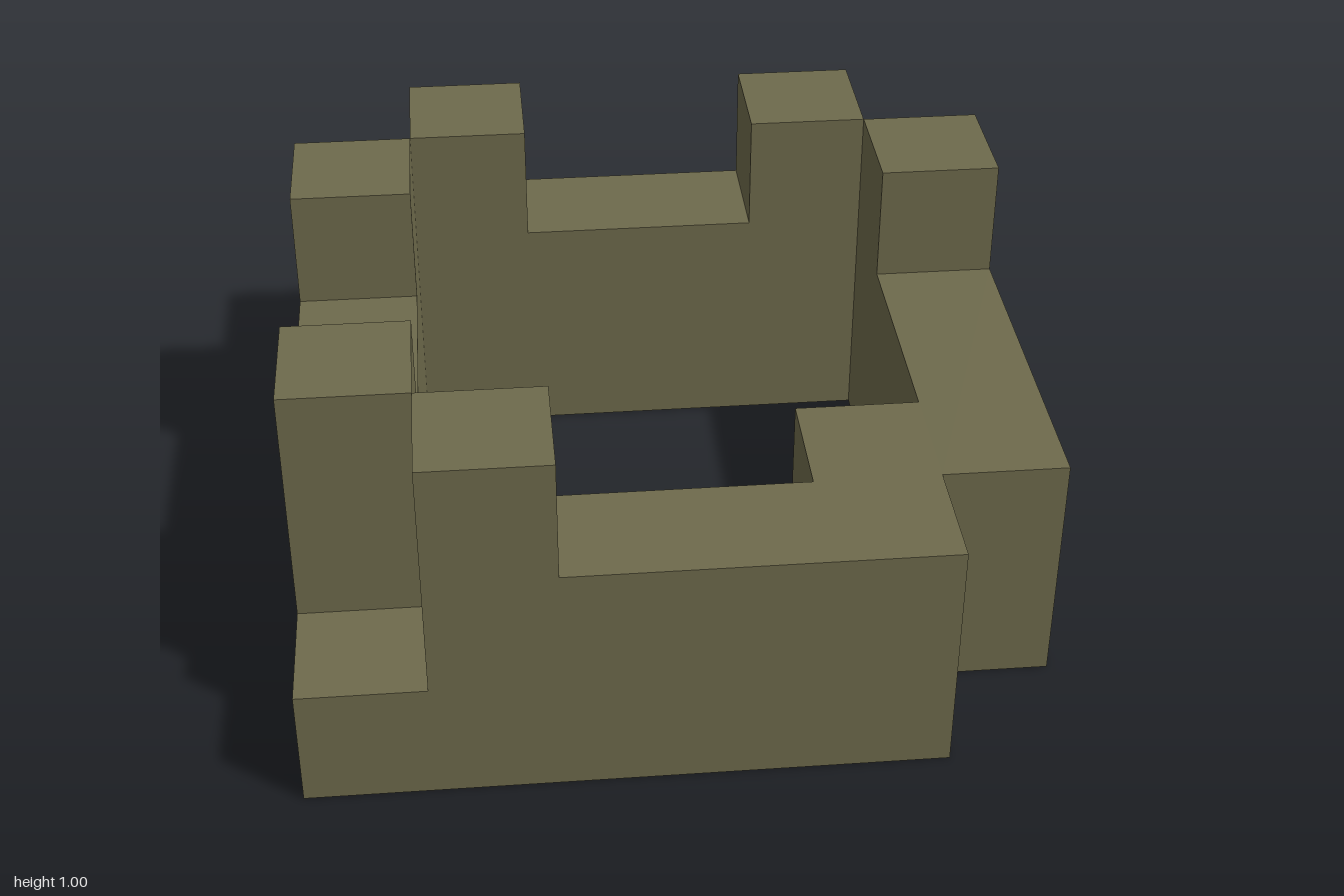
import * as THREE from 'three';

const U = 1 / 3; // one block

export function createModel() {
  const model = new THREE.Group();
  const stone = new THREE.MeshStandardMaterial({ color: 0x6e6a4c });
  stone.name = 'olive stone';

  const add = (name, geometry) => {
    const mesh = new THREE.Mesh(geometry, stone);
    mesh.name = name;
    model.add(mesh);
  };

  // Stepped wall one block thick: heights in blocks, one per column, from column "start"
  const wall = (start, heights) => {
    const shape = new THREE.Shape();
    shape.moveTo(start * U, 0);
    heights.forEach((h, i) => {
      if (h !== heights[i - 1]) shape.lineTo((start + i) * U, h * U);
      if (h !== heights[i + 1]) shape.lineTo((start + i + 1) * U, h * U);
    });
    shape.lineTo((start + heights.length) * U, 0);
    shape.closePath();
    return new THREE.ExtrudeGeometry(shape, { depth: U, bevelEnabled: false });
  };

  // Front and back walls run along x, each with one low corner
  add('frontWall', wall(-3, [1, 3, 2, 2, 2]).translate(0, 0, 2 * U));
  add('backWall', wall(-2, [3, 2, 2, 3, 1]).translate(0, 0, -1));

  // Side walls run along z between them
  add('leftWall', wall(-2, [3, 2, 2, 2]).rotateY(-Math.PI / 2).translate(1, 0, 0));
  add('rightWall', wall(-2, [3, 2, 2, 3]).rotateY(-Math.PI / 2).translate(-2 * U, 0, 0));

  // Raised block bridging the inside of the notched front corner
  add('cornerBlock', new THREE.BoxGeometry(U, U, U).translate(1.5 * U, 1.5 * U, 1.5 * U));

  return model;
}
